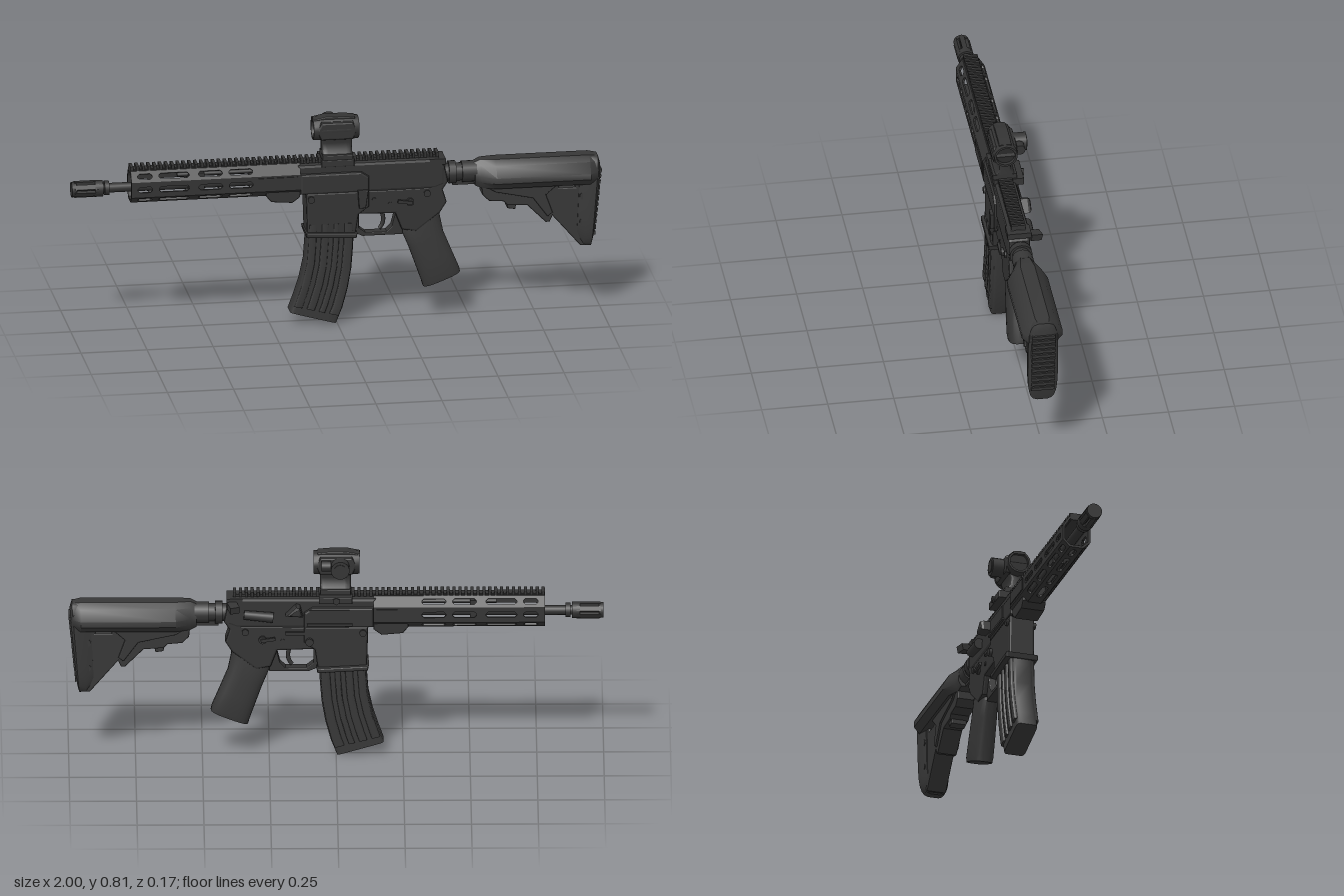
import * as THREE from 'three';
import { toCreasedNormals } from 'three/addons/utils/BufferGeometryUtils.js';

const mat = (name, color) => Object.assign(new THREE.MeshStandardMaterial({ color }), { name });

export function createModel() {
  const metal = mat('dark metal', 0x343434);
  const polymer = mat('dark polymer', 0x373737);
  const glass = mat('dark glass', 0x2a2a2a);
  const root = new THREE.Group();
  root.name = 'carbine';
  const body = new THREE.Group();
  body.name = 'body';
  body.position.z = 0.01;
  root.add(body);

  const add = (name, geo, m = metal, pos = [0, 0, 0], rot = [0, 0, 0]) => {
    const mesh = new THREE.Mesh(geo, m);
    mesh.name = name;
    mesh.position.set(...pos);
    mesh.rotation.set(...rot);
    body.add(mesh);
    return mesh;
  };
  const box = (name, x0, x1, y0, y1, z0, z1, m) =>
    add(name, new THREE.BoxGeometry(x1 - x0, y1 - y0, z1 - z0), m, [(x0 + x1) / 2, (y0 + y1) / 2, (z0 + z1) / 2]);
  // cylinder along x between x0 and x1
  const rod = (name, x0, x1, y, r, m, sides = 20, z = 0, r1 = r) =>
    add(name, new THREE.CylinderGeometry(r, r1, x1 - x0, sides), m, [(x0 + x1) / 2, y, z], [0, 0, -Math.PI / 2]);
  // cylinder along z
  const pin = (name, x, y, z0, z1, r, m, sides = 14) =>
    add(name, new THREE.CylinderGeometry(r, r, z1 - z0, sides), m, [x, y, (z0 + z1) / 2], [Math.PI / 2, 0, 0]);
  const vec = (pts) => pts.map((p) => new THREE.Vector2(...p));
  // side outline in x,y, extruded across z with bevelled edges
  const side = (name, pts, hw, bevel, m, holes = [], z = 0) => {
    const s = new THREE.Shape(vec(pts));
    holes.forEach((h) => s.holes.push(new THREE.Path(vec(h))));
    const g = new THREE.ExtrudeGeometry(s, {
      depth: 2 * (hw - bevel), bevelEnabled: bevel > 0, bevelSize: bevel, bevelThickness: bevel, bevelOffset: -bevel, bevelSegments: 2,
    });
    return add(name, g, m, [0, 0, z - hw + bevel]);
  };
  // closed skin through rings of points, with capped ends
  const loft = (name, rings, m) => {
    const n = rings[0].length, tri = [];
    const mid = (r) => r.reduce((a, p) => a.add(p), new THREE.Vector3()).divideScalar(n);
    for (let k = 0; k < rings.length - 1; k++) for (let i = 0; i < n; i++) {
      const j = (i + 1) % n, a = rings[k], b = rings[k + 1];
      tri.push([a[i], a[j], b[j]], [a[i], b[j], b[i]]);
    }
    const first = rings[0], last = rings[rings.length - 1], c0 = mid(first), c1 = mid(last);
    for (let i = 0; i < n; i++) {
      const j = (i + 1) % n;
      tri.push([c0, first[j], first[i]], [c1, last[i], last[j]]);
    }
    const volume = tri.reduce((v, t) => v + t[0].clone().sub(c0).dot(t[1].clone().sub(c0).cross(t[2].clone().sub(c0))), 0);
    if (volume < 0) tri.forEach((t) => t.reverse());
    const g = new THREE.BufferGeometry().setFromPoints(tri.flat());
    return add(name, toCreasedNormals(g, 0.6), m);
  };
  // rounded cross-section spanning two points of the side view
  const oval = (a, b, hz, e = 4, z = 0, n = 24) => Array.from({ length: n }, (_, i) => {
    const t = ((i + 0.5) / n) * Math.PI * 2, pw = (v) => Math.sign(v) * Math.abs(v) ** (2 / e);
    const u = pw(Math.cos(t)) / 2 + 0.5;
    return new THREE.Vector3(a[0] + (b[0] - a[0]) * u, a[1] + (b[1] - a[1]) * u, z + hz * pw(Math.sin(t)));
  });

  // muzzle device with six prongs, and barrel
  rod('muzzleRing', -1, -0.982, 0.57, 0.029);
  rod('muzzleCore', -0.985, -0.9, 0.57, 0.014);
  for (let i = 0; i < 6; i++) {
    const a = (i / 6) * Math.PI * 2;
    add('muzzleProng', new THREE.BoxGeometry(0.09, 0.012, 0.019), metal,
      [-0.944, 0.57 + 0.024 * Math.cos(a), 0.024 * Math.sin(a)], [a, 0, 0]);
  }
  rod('muzzleBase', -0.912, -0.882, 0.57, 0.031);
  rod('muzzleCollar', -0.876, -0.858, 0.57, 0.027);
  rod('barrel', -0.89, -0.12, 0.57, 0.018);
  rod('gasTube', -0.6, -0.12, 0.608, 0.008, metal, 10);
  box('gasBlock', -0.56, -0.5, 0.55, 0.618, -0.022, 0.022);

  // slotted eight-sided handguard, one plate per facet
  const G0 = -0.78, G1 = -0.14, T = 0.009;
  const section = [[0.516, -0.026], [0.516, 0.026], [0.542, 0.054], [0.602, 0.054], [0.64, 0.03], [0.64, -0.03], [0.602, -0.054], [0.542, -0.054]];
  const slots = [[-0.755, -0.7], [-0.675, -0.56], [-0.525, -0.435], [-0.41, -0.32]];
  section.forEach((p, i) => {
    const q = section[(i + 1) % 8], w = Math.hypot(q[0] - p[0], q[1] - p[1]);
    const s = new THREE.Shape(vec([[G0, 0], [G1, 0], [G1, w], [G0, w]]));
    if (i !== 4) slots.forEach(([a, b]) => {
      const h = Math.min(0.011, w * 0.24), c = w / 2, k = h * 0.7;
      s.holes.push(new THREE.Path(vec([[a, c - h + k], [a, c + h - k], [a + k, c + h], [b - k, c + h], [b, c + h - k], [b, c - h + k], [b - k, c - h], [a + k, c - h]])));
    });
    const mesh = add('handguardFacet', new THREE.ExtrudeGeometry(s, { depth: T, bevelEnabled: false }));
    const Y = new THREE.Vector3(0, (q[0] - p[0]) / w, (q[1] - p[1]) / w), X = new THREE.Vector3(1, 0, 0), Z = X.clone().cross(Y);
    mesh.quaternion.setFromRotationMatrix(new THREE.Matrix4().makeBasis(X, Y, Z));
    mesh.position.set(0, p[0], p[1]).addScaledVector(Z, -T);
  });
  side('handguardClamp', [[-0.27, 0.52], [-0.25, 0.495], [-0.17, 0.488], [-0.14, 0.51], [-0.14, 0.6], [-0.27, 0.6]], 0.046, 0.006);
  for (const s of [1, -1]) box('handguardScrewRail', -0.3, -0.15, 0.55, 0.595, s * 0.055 - 0.003, s * 0.055 + 0.003);

  // top rail with cross teeth
  box('railBase', G0, 0.385, 0.628, 0.644, -0.02, 0.02);
  for (let i = 0; i < 53; i++) {
    const x = G0 + i * 0.0222;
    side('railTooth', [[x, 0.636], [x + 0.0115, 0.636], [x + 0.0115, 0.655], [x, 0.655]], 0.027, 0.002);
  }

  // upper receiver
  side('upperReceiver', [[-0.15, 0.515], [0.37, 0.515], [0.41, 0.53], [0.41, 0.6], [0.385, 0.635], [-0.15, 0.635]], 0.042, 0.012);
  side('upperReceiverSide', [[-0.14, 0.52], [0.12, 0.52], [0.12, 0.58], [0.09, 0.6], [-0.14, 0.6]], 0.052, 0.008);
  box('ejectionPort', -0.05, 0.1, 0.54, 0.592, -0.056, -0.05);
  box('portHinge', -0.06, 0.11, 0.53, 0.539, -0.06, -0.045);
  side('caseDeflector', [[0.125, 0.57], [0.19, 0.575], [0.15, 0.615], [0.135, 0.61]], 0.027, 0.012, metal, [], -0.055);
  add('forwardAssist', new THREE.CylinderGeometry(0.017, 0.02, 0.11, 14), metal, [0.29, 0.568, -0.052], [0.2, 0, -Math.PI / 2 + 0.1]);
  box('chargingHandle', 0.35, 0.41, 0.612, 0.634, -0.045, 0.045);
  add('chargingLatch', new THREE.BoxGeometry(0.036, 0.026, 0.045), metal, [0.385, 0.606, -0.062], [-0.2, 0.3, 0]);

  // lower receiver, magazine well and controls
  side('lowerReceiver', [[0.02, 0.52], [0.06, 0.43], [0.22, 0.425], [0.245, 0.36], [0.3, 0.35], [0.39, 0.42], [0.415, 0.46],
    [0.4, 0.51], [0.42, 0.54], [0.41, 0.59], [0.37, 0.59], [0.35, 0.525]], 0.04, 0.008);
  side('magazineWell', [[-0.12, 0.525], [-0.115, 0.36], [0.068, 0.35], [0.08, 0.43], [0.12, 0.46], [0.12, 0.525]], 0.05, 0.008);
  side('magazineWellLip', [[-0.122, 0.372], [-0.118, 0.352], [0.07, 0.342], [0.074, 0.362]], 0.064, 0.006);
  side('triggerGuard', [[0.068, 0.43], [0.068, 0.35], [0.1, 0.336], [0.25, 0.336], [0.25, 0.43], [0.225, 0.43],
    [0.21, 0.37], [0.19, 0.35], [0.11, 0.35], [0.085, 0.37], [0.085, 0.43]], 0.02, 0.003);
  const curve = new THREE.QuadraticBezierCurve3(new THREE.Vector3(0.165, 0.44, 0), new THREE.Vector3(0.195, 0.39, 0), new THREE.Vector3(0.165, 0.358, 0));
  add('trigger', new THREE.TubeGeometry(curve, 10, 0.008, 8));
  for (const s of [1, -1]) {
    const out = (z) => [Math.min(s * 0.03, s * z), Math.max(s * 0.03, s * z)];
    pin('takedownPin', 0.34, 0.5, ...out(0.047), 0.013);
    pin('pivotPin', -0.1, 0.5, ...out(0.058), 0.013);
    pin('triggerPin', 0.2, 0.465, ...out(0.043), 0.008);
    pin('hammerPin', 0.14, 0.485, ...out(0.043), 0.008);
    pin('selectorHub', 0.275, 0.47, ...out(0.05), 0.015);
    add('selectorLever', new THREE.BoxGeometry(0.055, 0.012, 0.01), metal, [0.255, 0.473, s * 0.052], [0, 0, -0.15]);
  }
  side('boltCatch', [[0.08, 0.46], [0.105, 0.46], [0.115, 0.53], [0.075, 0.53]], 0.008, 0.003, metal, [], 0.056);
  pin('magazineRelease', 0.1, 0.465, -0.062, -0.04, 0.015);
  box('magazineReleaseFence', 0.075, 0.19, 0.49, 0.502, -0.05, -0.03);

  // pistol grip
  loft('grip', [
    oval([0.262, 0.385], [0.395, 0.44], 0.032, 3), oval([0.25, 0.34], [0.392, 0.405], 0.036, 3),
    oval([0.275, 0.28], [0.405, 0.34], 0.04, 3), oval([0.3, 0.21], [0.437, 0.262], 0.042, 3),
    oval([0.323, 0.145], [0.465, 0.195], 0.043, 3), oval([0.329, 0.124], [0.469, 0.178], 0.04, 3),
  ], polymer);

  // curved magazine with raised lengthwise ribs
  const rows = [[-0.112, 0.4, 0.064, 0.4], [-0.115, 0.33, 0.062, 0.31], [-0.121, 0.25, 0.055, 0.22],
    [-0.137, 0.175, 0.041, 0.14], [-0.158, 0.11, 0.021, 0.065], [-0.178, 0.055, -0.003, 0.005]];
  const strip = (u0, u1, hz, list, e) => list.map(([ax, ay, bx, by]) => {
    const at = (u) => [ax + (bx - ax) * u, ay + (by - ay) * u];
    return oval(at(u0), at(u1), hz, e, 0.004, 28);
  });
  loft('magazine', strip(0, 1, 0.041, rows, 9), polymer);
  const ribRows = [...rows.slice(0, 5), [-0.168, 0.082, 0.01, 0.036]];
  for (const [a, b] of [[0.02, 0.2], [0.29, 0.46], [0.55, 0.68], [0.77, 0.98]])
    loft('magazineRib', strip(a, b, 0.048, ribRows, 8), polymer);

  // buffer tube and rings
  rod('bufferTube', 0.4, 0.6, 0.566, 0.034);
  rod('castleNut', 0.425, 0.452, 0.566, 0.043, metal, 16);
  rod('tubeRing', 0.475, 0.53, 0.566, 0.04, polymer);
  box('tubeGuide', 0.44, 0.6, 0.518, 0.54, -0.014, 0.014);

  // stock: faceted upper body, thin lower frame, ribbed butt pad
  const half = [[0.027, 0.615], [0.053, 0.595], [0.077, 0.555], [0.077, 0.533], [0.056, 0.508]];
  const outline = [...half, ...half.map(([z, y]) => [-z, y]).reverse()];
  loft('stockBody', [[0.522, 0.55, 0.8], [0.545, 0.62, 1], [0.6, 1, 1], [0.955, 1, 1], [0.985, 0.72, 0.92]].map(([x, w, h]) =>
    outline.map(([z, y]) => new THREE.Vector3(x, 0.56 + (y - 0.56) * h, z * w))), polymer);
  side('stockFrame', [[0.545, 0.525], [0.55, 0.48], [0.575, 0.455], [0.63, 0.45], [0.645, 0.435], [0.72, 0.43], [0.79, 0.36], [0.805, 0.362],
    [0.815, 0.385], [0.92, 0.262], [0.95, 0.262], [0.97, 0.525]], 0.038, 0.006, polymer,
  [[[0.84, 0.495], [0.9, 0.495], [0.9, 0.508], [0.835, 0.508]]]);
  side('stockBrace', [[0.56, 0.515], [0.6, 0.49], [0.74, 0.46], [0.795, 0.385], [0.815, 0.4], [0.79, 0.47], [0.84, 0.515]], 0.046, 0.005, polymer);
  side('stockLever', [[0.57, 0.49], [0.64, 0.47], [0.645, 0.42], [0.675, 0.415], [0.685, 0.46], [0.73, 0.47], [0.72, 0.495]], 0.03, 0.005, polymer);
  for (const y of [0.46, 0.36]) pin('slingHole', 0.93, y, -0.048, 0.048, 0.014, polymer);
  loft('buttPad', [oval([0.905, 0.285], [0.92, 0.6], 0.042), oval([0.932, 0.256], [0.955, 0.614], 0.055),
    oval([0.96, 0.255], [0.988, 0.612], 0.057), oval([0.967, 0.28], [0.996, 0.585], 0.047)], polymer);
  for (let i = 0; i < 12; i++) {
    const y = 0.312 + i * 0.0222;
    add('padRib', new THREE.BoxGeometry(0.012, 0.013, 0.088), polymer, [0.967 + (y - 0.28) * 0.098, y, 0], [0, 0, -0.1]);
  }

  // sight mount
  side('mountBase', [[-0.06, 0.622], [0.065, 0.622], [0.065, 0.65], [-0.06, 0.65]], 0.058, 0.004, metal, [], -0.014);
  side('mountFoot', [[-0.055, 0.648], [0.06, 0.648], [0.06, 0.67], [-0.055, 0.67]], 0.046, 0.004);
  loft('mountPost', [[0.665, 0.04], [0.685, 0.025], [0.71, 0.022], [0.735, 0.03]].map(([y, w]) => oval([-0.055, y], [0.06, y], w, 8)));
  pin('mountScrew', 0, 0.636, -0.08, -0.05, 0.014, metal, 6);

  // sight: eight-sided housing, open hoods, lenses and knobs
  const sy = 0.765;
  const hood = vec([[0.036, -0.088], [0.044, -0.088], [0.047, -0.05], [0.047, 0.05], [0.044, 0.084], [0.036, 0.084], [0.034, 0.06], [0.034, -0.06], [0.036, -0.088]]);
  add('sightHousing', toCreasedNormals(new THREE.LatheGeometry(hood, 16), 0.5), metal, [0, sy, 0], [0, 0, -Math.PI / 2]).material.side = THREE.DoubleSide;
  for (const x of [-0.074, 0.068]) rod('sightLens', x - 0.003, x + 0.003, sy, 0.036, glass, 24);
  side('sightTop', [[-0.09, 0.795], [0.07, 0.795], [0.07, 0.81], [0.03, 0.814], [-0.04, 0.815], [-0.09, 0.805]], 0.024, 0.004);
  side('sightBody', [[-0.06, 0.728], [0.06, 0.728], [0.075, 0.76], [0.06, 0.798], [-0.06, 0.798], [-0.078, 0.765]], 0.046, 0.008);
  pin('brightnessKnob', -0.015, 0.763, -0.09, -0.04, 0.035, metal, 16);
  pin('knobCap', -0.015, 0.763, -0.093, -0.088, 0.024, metal, 12);
  rod('adjusterCap', 0.02, 0.055, 0.77, 0.02, metal, 12, -0.058);
  return root;
}
